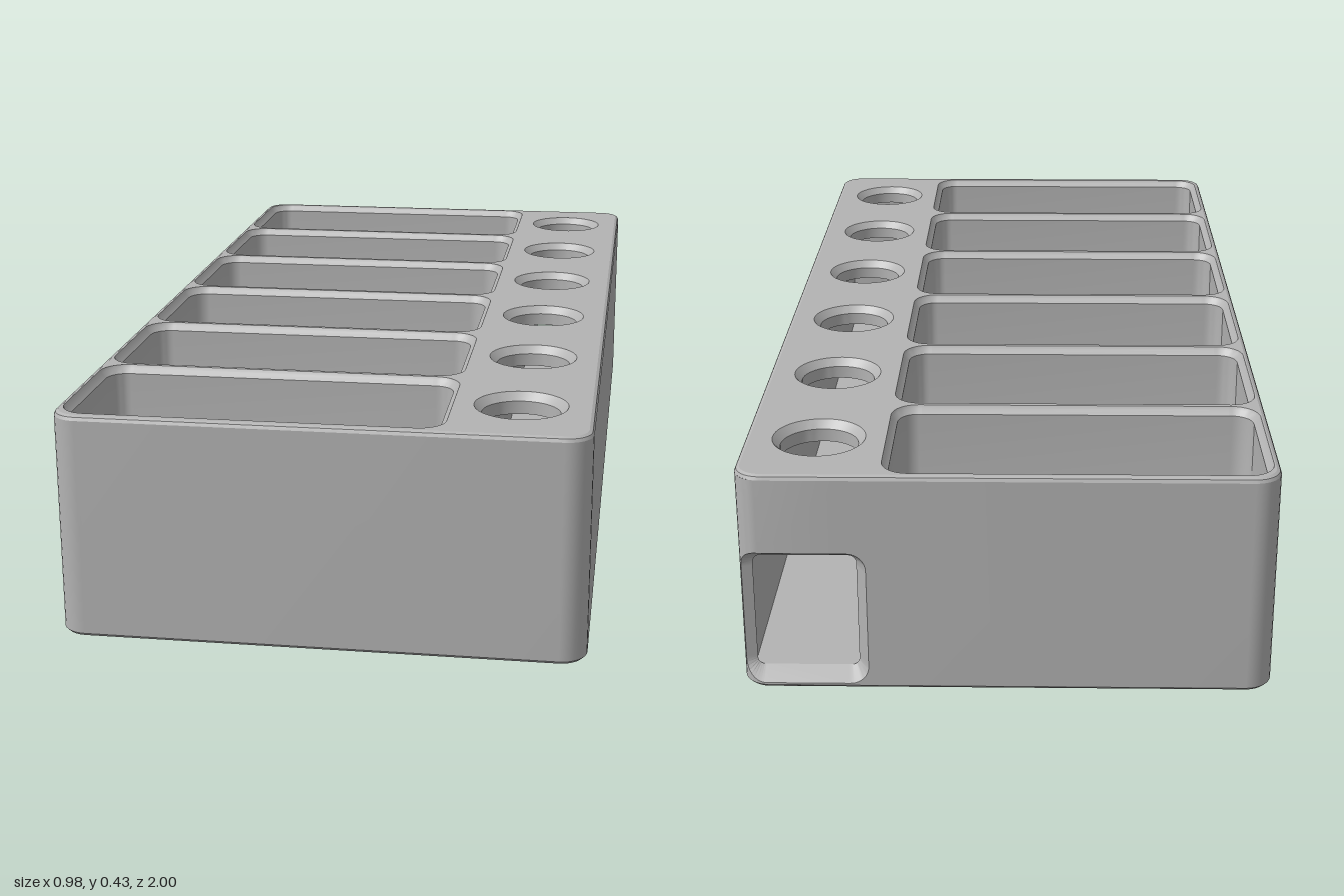
import * as THREE from 'three';
import { toCreasedNormals } from 'three/addons/utils/BufferGeometryUtils.js';

const V = (x, y, z) => new THREE.Vector3(x, y, z);
const SEG = 8;
const HALF_X = 0.49, HALF_Z = 1, HEIGHT = 0.43, CORNER = 0.05, FLOOR = 0.03;

// Rounded rectangle loop at height y, counterclockwise from above, starting at (+x, -z).
// A short guard point beside each arc keeps the flat sides evenly shaded.
function roundedLoop([x0, x1, z0, z1], radius, inset, y) {
  const r = Math.max(radius - inset, 0.003), m = inset + r, g = 0.006;
  const centres = [[x1 - m, z0 + m], [x0 + m, z0 + m], [x0 + m, z1 - m], [x1 - m, z1 - m]];
  const pts = [];
  centres.forEach(([cx, cz], k) => {
    for (let i = -1; i <= SEG + 1; i++) {
      const t = Math.min(Math.max(i, 0), SEG), a = (k + t / SEG) * Math.PI / 2;
      const s = (i - t) * g;
      pts.push(V(cx + r * Math.cos(a) - s * Math.sin(a), y, cz - r * Math.sin(a) - s * Math.cos(a)));
    }
  });
  return pts;
}

function circle(cx, cz, r, y, n = 48) {
  return Array.from({ length: n }, (_, i) => {
    const a = i / n * Math.PI * 2;
    return V(cx + r * Math.cos(a), y, cz - r * Math.sin(a));
  });
}

// Skin joining consecutive rows of points.
function skin(rows, closed = true) {
  const n = rows[0].length, index = [];
  for (let j = 0; j < rows.length - 1; j++) {
    for (let i = 0; i < (closed ? n : n - 1); i++) {
      const a = j * n + i, b = j * n + (i + 1) % n;
      index.push(a, b, b + n, a, b + n, a + n);
    }
  }
  const geo = new THREE.BufferGeometry().setFromPoints(rows.flat());
  geo.setIndex(index);
  return toCreasedNormals(geo, 0.45);
}

// Flat horizontal face with holes, facing up or down.
function cap(loop, holes, y, up) {
  const s = up ? -1 : 1;
  const flat = pts => pts.map(p => new THREE.Vector2(p.x, s * p.z));
  const shape = new THREE.Shape(flat(loop));
  shape.holes = holes.map(h => new THREE.Path(flat(h)));
  return new THREE.ShapeGeometry(shape).rotateX(s * Math.PI / 2).translate(0, y, 0);
}

export function createModel() {
  const group = new THREE.Group();
  const grey = new THREE.MeshStandardMaterial({ color: 0xb3b3b3, side: THREE.DoubleSide });
  grey.name = 'grey plastic';
  const add = (name, geo) => {
    const mesh = new THREE.Mesh(geo, grey);
    mesh.name = name;
    group.add(mesh);
  };

  const body = [-HALF_X, HALF_X, -HALF_Z, HALF_Z];
  const outer = (inset, y) => roundedLoop(body, CORNER, inset, y);
  const at = (pts, y) => pts.map(p => V(p.x, y, p.z));
  const wallBottom = 0.006, wallTop = 0.421;

  // Back opening: outer rim follows the rounded corner, inner rim is flat
  const rimX = [0.255, 0.485], rimY = [0.01, 0.277], innerZ = -0.965;
  const cornerX = HALF_X - CORNER;
  const backZ = x => x <= cornerX ? -HALF_Z
    : -HALF_Z + CORNER - Math.sqrt(CORNER ** 2 - (x - cornerX) ** 2);
  const rim = inset => roundedLoop([...rimX, -rimY[1], -rimY[0]], 0.035, inset, 0);
  const rimOuter = rim(0).map(p => V(p.x, -p.z, backZ(p.x)));
  const rimInner = rim(0.02).map(p => V(p.x, -p.z, innerZ));
  add('openingFlare', skin([rimOuter, rimInner]));

  // Outer wall, running round from one side of the opening to the other
  const upper = rimOuter.slice(1, 2 * (SEG + 3) - 1);
  const loop = outer(0, 0);
  const inWindow = p => p.z < -0.9 && p.x > rimX[0] && p.x < rimX[1];
  const first = loop.findIndex(inWindow);
  const before = loop.slice(0, first), after = loop.slice(first).filter(p => !inWindow(p));
  const around = [upper[upper.length - 1], ...after, ...before, upper[0]];
  add('outerWall', skin([at(around, wallBottom), at(around, wallTop)], false));
  const lower = upper.map(p => V(p.x, rimY[0] + rimY[1] - p.y, p.z));
  add('wallBelowOpening', skin([at(upper, wallBottom), lower], false));
  add('wallAboveOpening', skin([upper, at(upper, wallTop)], false));
  add('bottomEdge', skin([outer(0.006, 0), outer(0, wallBottom)]));
  add('topEdge', skin([outer(0, wallTop), outer(0.003, 0.427), outer(0.009, HEIGHT)]));

  // Cable channel under the row of small holes
  const chX = [0.25, 0.47], chTop = 0.39;
  const chPath = [V(chX[0], 0, innerZ), V(chX[0], 0, 0.965), V(chX[1], 0, 0.965), V(chX[1], 0, innerZ)];
  add('channelWalls', skin([at(chPath, chTop), at(chPath, FLOOR)], false));
  add('channelFloor', cap(chPath, [], FLOOR, true));
  const backShape = new THREE.Shape([[chX[0], FLOOR - 0.001], [chX[1], FLOOR - 0.001], [chX[1], chTop], [chX[0], chTop]]
    .map(([x, y]) => new THREE.Vector2(x, y)));
  backShape.holes = [new THREE.Path(rimInner.map(p => new THREE.Vector2(p.x, p.y)))];
  add('channelBackWall', new THREE.ShapeGeometry(backShape).translate(0, 0, innerZ));

  // Six compartments, each with a floor hole and a small round hole beside it
  const topHoles = [], ceilingHoles = [], bottomHoles = [];
  const pocketProfile = [[0, HEIGHT], [0.003, 0.424], [0.012, 0.415], [0.012, 0.048], [0.015, 0.038], [0.021, 0.032], [0.028, FLOOR]];
  const holeProfile = [[0.087, HEIGHT], [0.073, 0.415], [0.073, chTop]];
  const drainProfile = [[0.102, FLOOR], [0.12, 0]];
  for (let i = 0; i < 6; i++) {
    const z = (i - 2.5) * 0.329 - 0.002;
    const rect = [-0.478, 0.227, z - 0.16, z + 0.16];
    const pocket = pocketProfile.map(([inset, y]) => roundedLoop(rect, 0.05, inset, y));
    const drain = drainProfile.map(([r, y]) => circle(-0.125, z, r, y));
    const hole = holeProfile.map(([r, y]) => circle(0.352, z, r, y));
    add('compartmentWall', skin(pocket));
    add('compartmentFloor', cap(pocket[pocket.length - 1], [drain[0]], FLOOR, true));
    add('floorHole', skin(drain));
    add('smallHole', skin(hole));
    topHoles.push(pocket[0], hole[0]);
    ceilingHoles.push(hole[2]);
    bottomHoles.push(drain[1]);
  }

  // Flat faces
  add('topFace', cap(outer(0.009, HEIGHT), topHoles, HEIGHT, true));
  add('channelCeiling', cap(chPath, ceilingHoles, chTop, false));
  add('bottomFace', cap(outer(0.006, 0), bottomHoles, 0, false));
  return group;
}
